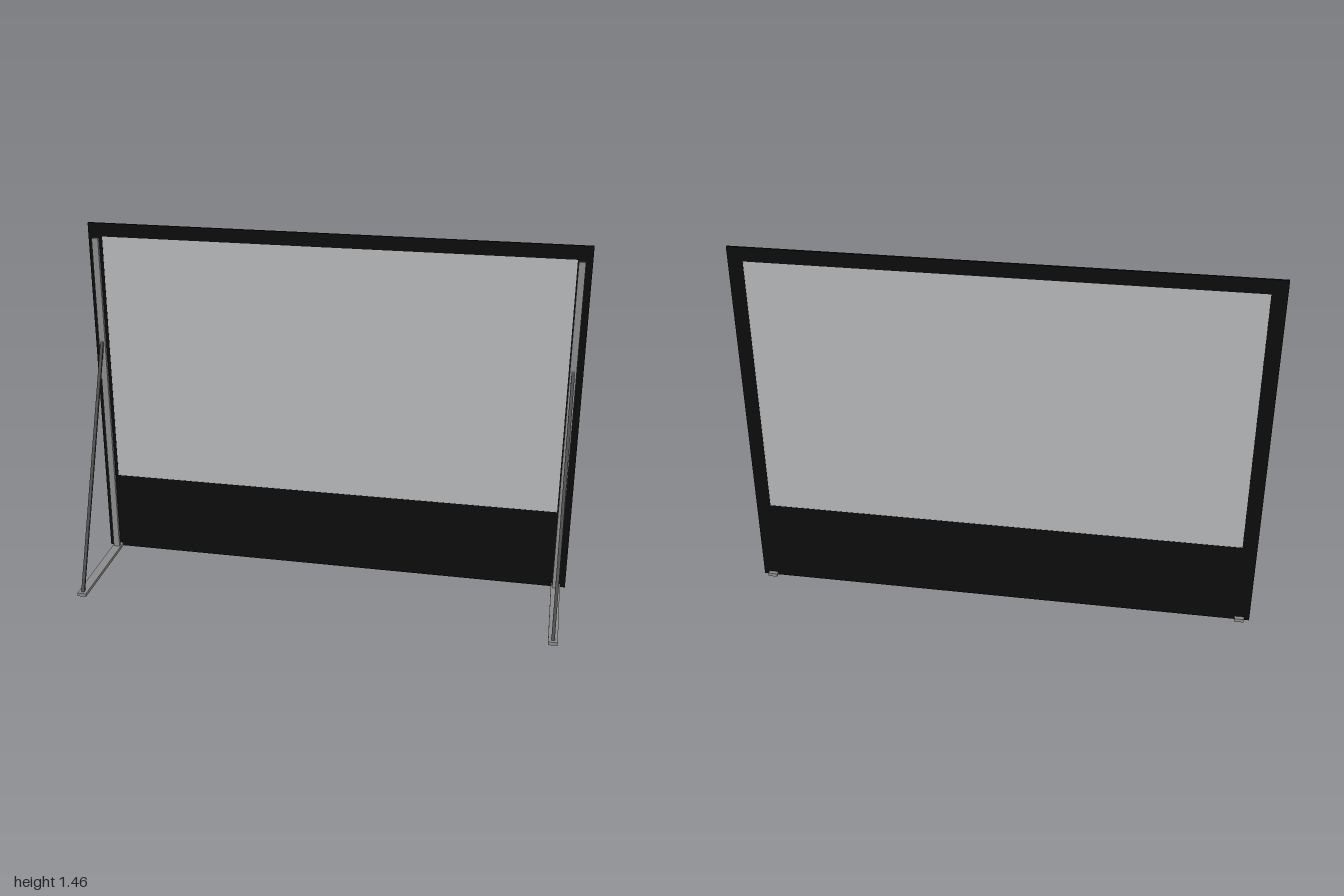
import * as THREE from 'three';

const mat = (name, color) => {
  const m = new THREE.MeshStandardMaterial({ color });
  m.name = name;
  return m;
};

export function createModel() {
  const black = mat('black fabric', 0x0c0c0c);
  const grey = mat('screen grey', 0xb4b5b7);
  const metal = mat('metal grey', 0x8a8a8a);
  const dark = mat('dark metal', 0x4c4c4c);
  const model = new THREE.Group();
  model.name = 'projectionScreen';

  const box = (name, parent, material, size, pos) => {
    const mesh = new THREE.Mesh(new THREE.BoxGeometry(...size), material);
    mesh.name = name;
    mesh.position.set(...pos);
    parent.add(mesh);
    return mesh;
  };

  // Black border with a rectangular opening, deeper at the bottom
  const screenZ = -0.222, depth = 0.008;
  const left = -0.943, right = 0.943, low = 0.345, high = 1.405;
  const outline = new THREE.Shape();
  outline.moveTo(-1, 0).lineTo(1, 0).lineTo(1, 1.46).lineTo(-1, 1.46).closePath();
  const opening = new THREE.Path();
  opening.moveTo(left, low).lineTo(left, high).lineTo(right, high).lineTo(right, low).closePath();
  outline.holes.push(opening);
  const border = new THREE.Mesh(
    new THREE.ExtrudeGeometry(outline, { depth, bevelEnabled: false }), black);
  border.name = 'border';
  border.position.z = screenZ - depth / 2;
  model.add(border);

  // Projection surface filling the opening
  box('projectionSurface', model, grey, [right - left, high - low, 0.006],
    [0, (low + high) / 2, screenZ]);

  // Mirrored stands: foot, upright post and slanting brace
  for (const side of [-1, 1]) {
    const stand = new THREE.Group();
    stand.name = side > 0 ? 'leftStand' : 'rightStand';
    stand.position.x = side * 0.96;
    model.add(stand);

    box('foot', stand, metal, [0.037, 0.014, 0.486], [0, 0.007, 0]);
    box('post', stand, metal, [0.026, 1.395, 0.015], [0, 0.7075, -0.188]);

    const start = new THREE.Vector3(0, 0.01, 0.226);
    const end = new THREE.Vector3(0, 0.972, -0.184);
    const brace = box('brace', stand, dark, [0.013, start.distanceTo(end), 0.01],
      start.clone().add(end).multiplyScalar(0.5).toArray());
    brace.rotation.x = Math.atan2(end.z - start.z, end.y - start.y);
  }
  return model;
}
